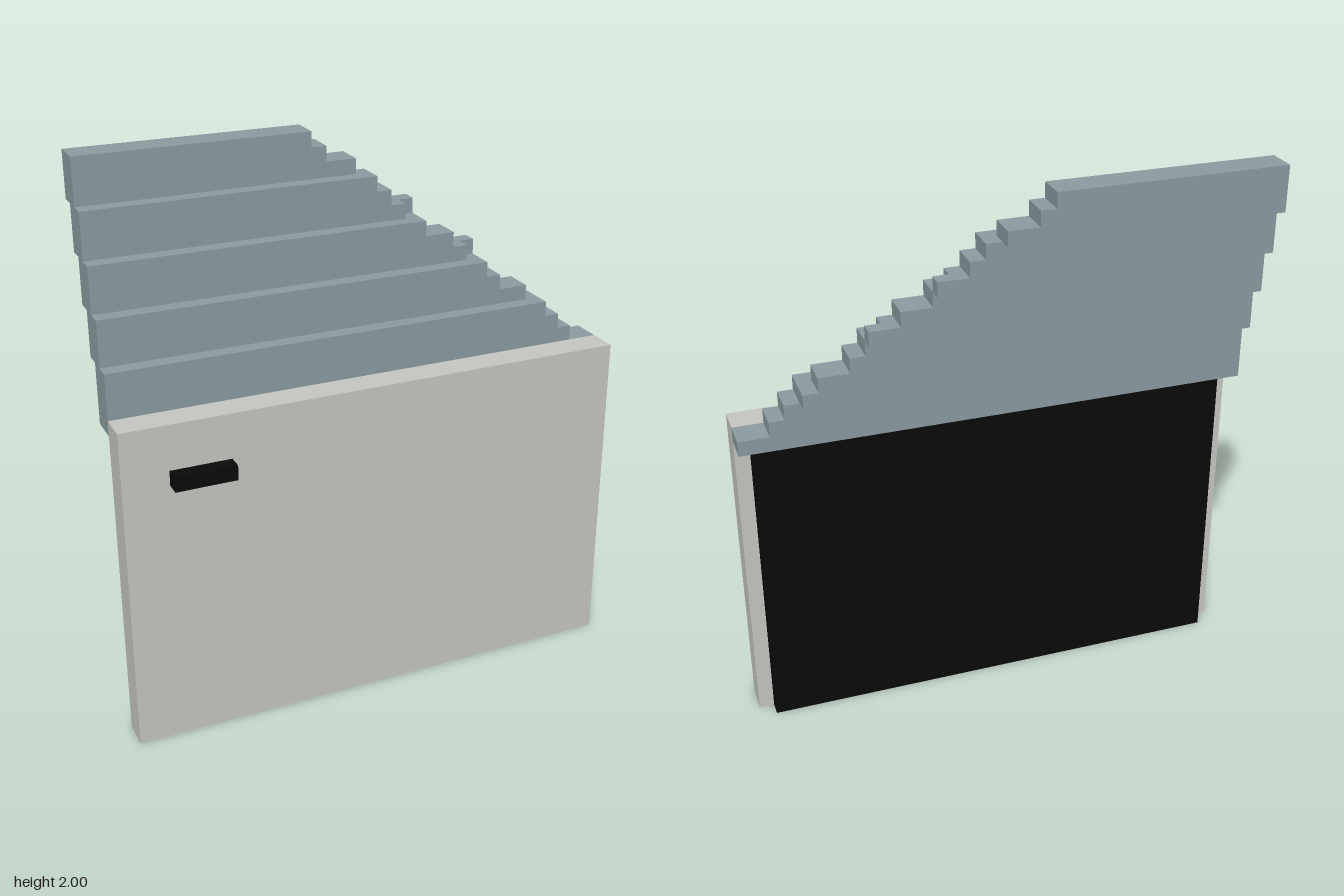
import * as THREE from 'three';

const U = 2 / 37; // edge length of one block

function material(name, color) {
  const m = new THREE.MeshStandardMaterial({ color });
  m.name = name;
  return m;
}

// Box given by its block bounds
function block(name, mat, [x0, x1], [y0, y1], [z0, z1]) {
  const geometry = new THREE.BoxGeometry((x1 - x0) * U, (y1 - y0) * U, (z1 - z0) * U);
  const mesh = new THREE.Mesh(geometry, mat);
  mesh.name = name;
  mesh.position.set((x0 + x1) * U / 2, (y0 + y1) * U / 2, (z0 + z1) * U / 2);
  return mesh;
}

// Stepped pane two blocks deep: one right-hand end per block row, bottom to top
function pane(name, mat, y0, zBack, ends) {
  const shape = new THREE.Shape();
  shape.moveTo(-17 * U, y0 * U);
  ends.forEach((end, i) => {
    shape.lineTo(end * U, (y0 + i) * U);
    shape.lineTo(end * U, (y0 + i + 1) * U);
  });
  shape.lineTo(-17 * U, (y0 + ends.length) * U);
  shape.closePath();
  const geometry = new THREE.ExtrudeGeometry(shape, { depth: 2 * U, bevelEnabled: false });
  const mesh = new THREE.Mesh(geometry, mat);
  mesh.name = name;
  mesh.position.z = zBack * U;
  return mesh;
}

export function createModel() {
  const paint = material('light grey paint', 0xc6c6c1);
  const glass = material('blue grey glass', 0x8a9ca1);
  const black = material('black trim', 0x0a0a0a);

  const door = new THREE.Group();
  door.name = 'door';

  // Outer panel, inner lining and handle
  door.add(block('outerPanel', paint, [-17, 17], [0, 22], [1.5, 3.5]));
  door.add(block('innerLining', black, [-16, 16], [0, 21], [0.5, 1.5]));
  door.add(block('handle', black, [-14, -10], [18, 19], [3.5, 4.5]));

  // Window leaning back in five steps
  const window = new THREE.Group();
  window.name = 'window';
  const layers = [
    [21, [17, 15, 14, 13]],
    [25, [12, 10, 9]],
    [28, [8, 7, 5]],
    [31, [4, 3, 2]],
    [34, [1, -1, -2]],
  ];
  layers.forEach(([y0, ends], i) => {
    window.add(pane(`windowStep${i + 1}`, glass, y0, -0.5 - i, ends));
  });

  // Single blocks at the rear of the sloping edge
  const edgeBlocks = [[12, 24, -1.5], [8, 28, -2.5], [4, 31, -3.5]];
  edgeBlocks.forEach(([x, y, z], i) => {
    window.add(block(`windowEdge${i + 1}`, glass, [x, x + 1], [y, y + 1], [z, z + 1]));
  });
  door.add(window);

  return door;
}
